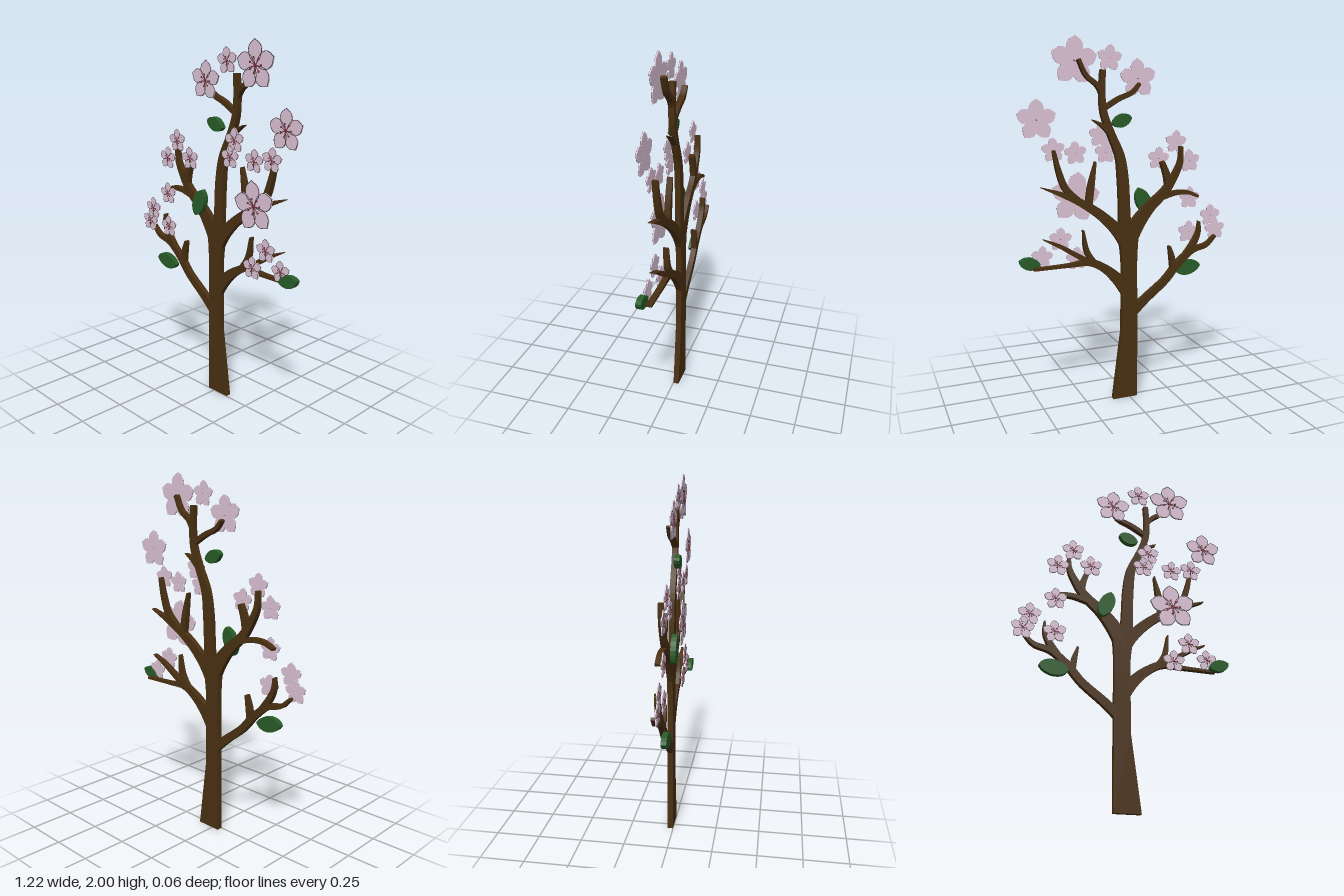
import * as THREE from 'three';
import { mergeGeometries } from 'three/addons/utils/BufferGeometryUtils.js';

const material = (color) => new THREE.MeshStandardMaterial({ color });
const bark = material(0x4a3012);
const leafGreen = material(0x285c28);
const petalPink = material(0xdcc3d6);
const outlineGrey = material(0x454047);
const stamenRed = material(0x7c2c38);

const extrude = (shape, depth, z, curveSegments = 8) =>
  new THREE.ExtrudeGeometry(shape, { depth, bevelEnabled: false, curveSegments }).translate(0, 0, z);

// Flat tapering limb: each point is [x, y, half width]
function limb(name, points) {
  const curve = new THREE.CatmullRomCurve3(points.map((p) => new THREE.Vector3(...p)));
  const n = points.length * 4;
  const left = [], right = [];
  for (let i = 0; i <= n; i++) {
    const p = curve.getPoint(i / n), t = curve.getTangent(i / n);
    const len = Math.hypot(t.x, t.y), w = Math.max(p.z, 0.002);
    const nx = (-t.y / len) * w, ny = (t.x / len) * w;
    left.push(new THREE.Vector2(p.x + nx, p.y + ny));
    right.unshift(new THREE.Vector2(p.x - nx, p.y - ny));
  }
  const mesh = new THREE.Mesh(extrude(new THREE.Shape([...left, ...right]), 0.031, -0.032), bark);
  mesh.name = name;
  return mesh;
}

// Unit petal from the flower centre to (0, 1); s shrinks it about its middle
function petalPath(PathType, s) {
  const f = (x, y) => [x * s, 0.55 + (y - 0.55) * s];
  const path = new PathType();
  path.moveTo(...f(0, 0.03));
  path.bezierCurveTo(...f(0.2, 0.15), ...f(0.4, 0.4), ...f(0.34, 0.66));
  path.bezierCurveTo(...f(0.3, 0.85), ...f(0.12, 0.9), ...f(0, 1));
  path.bezierCurveTo(...f(-0.12, 0.9), ...f(-0.3, 0.85), ...f(-0.34, 0.66));
  path.bezierCurveTo(...f(-0.4, 0.4), ...f(-0.2, 0.15), ...f(0, 0.03));
  return path;
}

const ringOf = (count, geometry, offset = 0) => mergeGeometries(
  Array.from({ length: count }, (_, i) => geometry.clone().rotateZ((i / count) * Math.PI * 2 + offset)));

// Shared flower geometries, unit radius in x and y, true size in z
function flowerParts() {
  const rim = petalPath(THREE.Shape, 1);
  rim.holes.push(petalPath(THREE.Path, 0.93));
  const filament = new THREE.BoxGeometry(0.025, 0.26, 0.002).translate(0, 0.15, 0.0095);
  const anther = new THREE.CylinderGeometry(0.045, 0.045, 0.003, 8).rotateX(Math.PI / 2).translate(0, 0.3, 0.0095);
  const heart = new THREE.CylinderGeometry(0.07, 0.07, 0.003, 10).rotateX(Math.PI / 2).translate(0, 0, 0.0095);
  return [
    ['petals', ringOf(5, extrude(petalPath(THREE.Shape, 1), 0.006, 0.001)), petalPink],
    ['petalOutlines', ringOf(5, extrude(rim, 0.001, 0.0072)), outlineGrey],
    ['stamens', mergeGeometries([ringOf(7, mergeGeometries([filament, anther]), 0.2), heart]), stamenRed],
  ];
}

// Pointed oval leaf
function leaf(x, y, length, width, degrees) {
  const a = length / 2, b = width / 2;
  const shape = new THREE.Shape();
  shape.moveTo(-a, 0);
  shape.bezierCurveTo(-a * 0.85, b * 1.2, a * 0.45, b * 1.45, a, 0);
  shape.bezierCurveTo(a * 0.75, -b * 1.3, -a * 0.5, -b * 1.35, -a, 0);
  const mesh = new THREE.Mesh(extrude(shape, 0.03, 0), leafGreen);
  mesh.position.set(x, y, 0);
  mesh.rotation.z = THREE.MathUtils.degToRad(degrees);
  mesh.name = 'leaf';
  return mesh;
}

export function createModel() {
  const model = new THREE.Group();
  model.name = 'blossomTree';

  // Trunk with a straight left side and a flared right foot
  const trunk = new THREE.Shape();
  trunk.moveTo(-0.045, 0);
  trunk.lineTo(0.1, 0);
  trunk.lineTo(0.047, 0.4);
  trunk.lineTo(0.045, 0.72);
  trunk.quadraticCurveTo(0.042, 0.84, 0.065, 0.94);
  trunk.lineTo(0.06, 1.03);
  trunk.lineTo(0, 1.03);
  trunk.lineTo(-0.06, 0.985);
  trunk.quadraticCurveTo(-0.036, 0.86, -0.045, 0.6);
  const trunkMesh = new THREE.Mesh(extrude(trunk, 0.031, -0.032), bark);
  trunkMesh.name = 'trunk';
  model.add(trunkMesh);

  // Main stem, branches and twigs
  const limbs = {
    stem: [[0.025, 0.95, 0.035], [0.03, 1.1, 0.031], [0.037, 1.25, 0.03], [0.055, 1.38, 0.025], [0.105, 1.5, 0.02],
      [0.145, 1.61, 0.018], [0.154, 1.72, 0.015], [0.148, 1.83, 0.014]],
    topRightTwig: [[0.148, 1.69, 0.012], [0.18, 1.75, 0.012], [0.24, 1.8, 0.011], [0.28, 1.88, 0.009]],
    topLeftTwig: [[0.145, 1.63, 0.013], [0.06, 1.68, 0.013], [-0.02, 1.715, 0.011], [-0.06, 1.76, 0.007]],
    stemTwig: [[0.11, 1.5, 0.012], [0.15, 1.54, 0.011], [0.205, 1.572, 0.002]],
    upperLeftBranch: [[0, 0.88, 0.03], [-0.04, 0.99, 0.04], [-0.12, 1.09, 0.03], [-0.21, 1.17, 0.024],
      [-0.26, 1.24, 0.02], [-0.305, 1.33, 0.014], [-0.31, 1.42, 0.008]],
    upperLeftSideTwig: [[-0.19, 1.14, 0.014], [-0.28, 1.163, 0.013], [-0.36, 1.16, 0.011], [-0.42, 1.135, 0.007]],
    upperLeftInnerTwig: [[-0.235, 1.19, 0.018], [-0.225, 1.26, 0.018], [-0.195, 1.34, 0.012]],
    lowerLeftBranch: [[-0.02, 0.5, 0.026], [-0.1, 0.57, 0.023], [-0.22, 0.665, 0.021], [-0.3, 0.755, 0.02],
      [-0.39, 0.825, 0.016], [-0.48, 0.85, 0.012], [-0.535, 0.9, 0.007]],
    lowerLeftUpTwig: [[-0.34, 0.79, 0.016], [-0.4, 0.87, 0.016], [-0.427, 0.93, 0.011], [-0.43, 0.99, 0.004]],
    lowerLeftInnerTwig: [[-0.27, 0.71, 0.014], [-0.262, 0.79, 0.015], [-0.245, 0.86, 0.006]],
    lowerRightBranch: [[0.01, 0.61, 0.03], [0.06, 0.69, 0.032], [0.14, 0.765, 0.024], [0.23, 0.81, 0.018],
      [0.34, 0.805, 0.01], [0.54, 0.8, 0.007]],
    lowerRightInnerTwig: [[0.19, 0.79, 0.015], [0.245, 0.87, 0.014], [0.265, 0.99, 0.003]],
    lowerRightOuterTwig: [[0.22, 0.805, 0.015], [0.31, 0.86, 0.013], [0.4, 0.915, 0.01], [0.485, 0.955, 0.002]],
    upperRightBranch: [[0.01, 0.87, 0.03], [0.06, 0.96, 0.032], [0.14, 1.045, 0.027], [0.25, 1.125, 0.022],
      [0.36, 1.18, 0.015], [0.49, 1.23, 0.002]],
    upperRightUpTwig: [[0.28, 1.14, 0.018], [0.36, 1.22, 0.017], [0.395, 1.31, 0.014], [0.42, 1.42, 0.007]],
    upperRightInnerTwig: [[0.235, 1.11, 0.018], [0.22, 1.22, 0.017], [0.193, 1.355, 0.003]],
  };
  for (const [name, points] of Object.entries(limbs)) model.add(limb(name, points));

  // Blossoms: x, y, radius, turn in degrees
  const parts = flowerParts();
  const blossoms = [
    [-0.06, 1.785, 0.106, -3], [0.1, 1.89, 0.071, 5], [0.295, 1.873, 0.128, 3], [0.5, 1.575, 0.108, 0],
    [0.155, 1.49, 0.068, 4], [0.125, 1.4, 0.064, 0], [0.295, 1.4, 0.064, -4], [0.415, 1.42, 0.066, -4],
    [0.298, 1.165, 0.138, 8], [-0.29, 1.443, 0.066, 4], [-0.375, 1.335, 0.066, -4], [-0.185, 1.355, 0.066, 6],
    [-0.378, 1.125, 0.066, 3], [-0.515, 1.015, 0.066, 0], [-0.547, 0.932, 0.066, -5], [-0.375, 0.928, 0.066, 5],
    [0.385, 0.945, 0.066, 3], [0.293, 0.832, 0.066, 0], [0.488, 0.857, 0.062, 6],
  ];
  blossoms.forEach(([x, y, radius, turn], i) => {
    const flower = new THREE.Group();
    flower.name = 'blossom';
    for (const [name, geometry, mat] of parts) {
      const mesh = new THREE.Mesh(geometry, mat);
      mesh.name = name;
      flower.add(mesh);
    }
    flower.position.set(x, y, (i % 2) * 0.001);
    flower.scale.set(radius, radius, 1);
    flower.rotation.z = THREE.MathUtils.degToRad(turn);
    model.add(flower);
  });

  // Leaves
  model.add(
    leaf(-0.375, 0.718, 0.16, 0.085, -5),
    leaf(-0.097, 1.122, 0.16, 0.088, 72),
    leaf(0.03, 1.565, 0.115, 0.07, -15),
    leaf(0.553, 0.825, 0.118, 0.068, 18),
  );
  return model;
}
